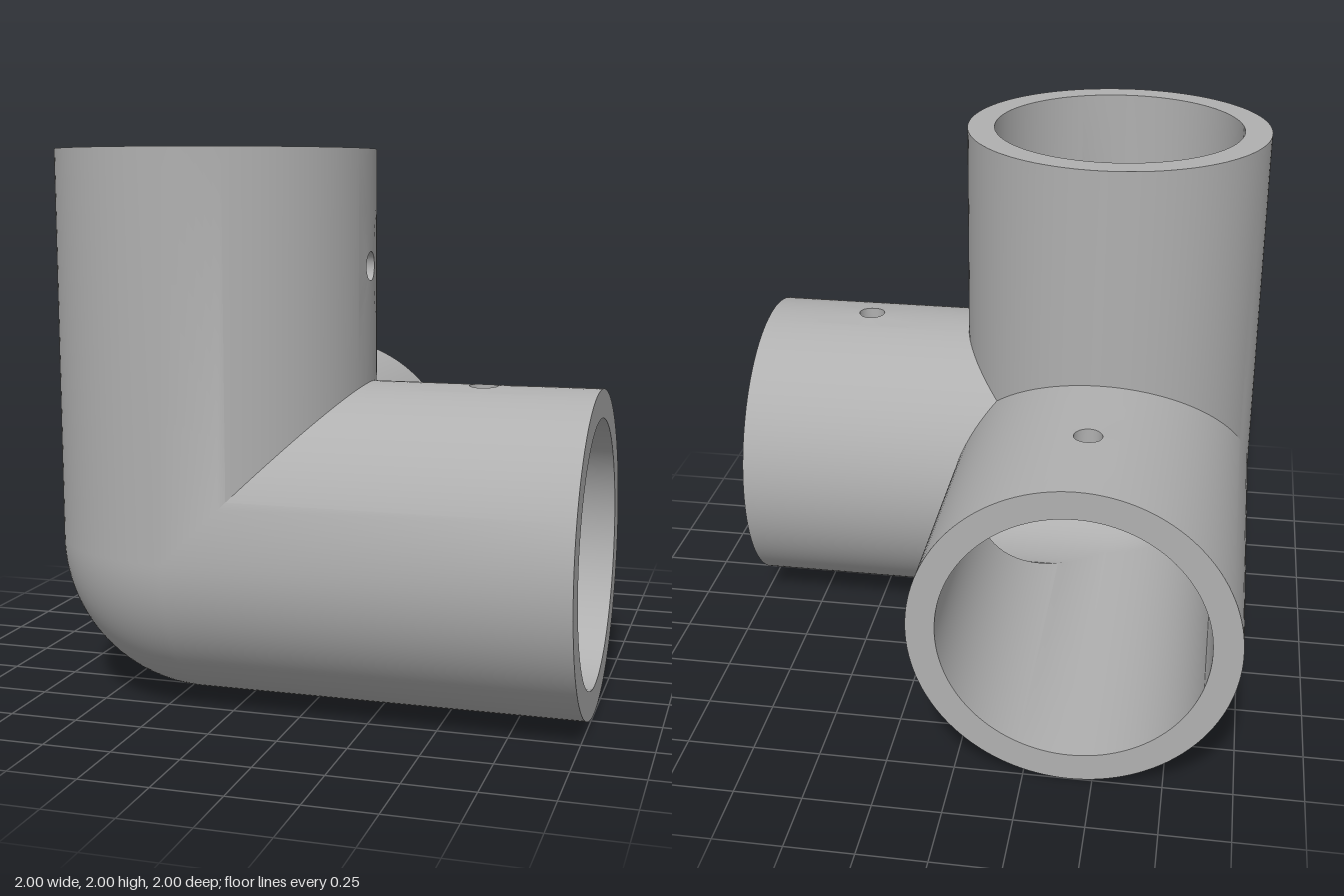
import * as THREE from 'three';
import { mergeGeometries, toCreasedNormals } from 'three/addons/utils/BufferGeometryUtils.js';

const CENTER = new THREE.Vector3(-0.416, 0.584, 0.416); // where the three pipe axes meet
const OUTER = 0.584, INNER = 0.48, LENGTH = 1.416;
const SEGMENTS = 128, STEP = (Math.PI * 2) / SEGMENTS;
const HOLE_RADIUS = 0.052, HOLE_AT = 1, PATCH = 4, PATCH_HALF = 0.2;

// One pipe arm along axis a, mitred against arms along u and v; the screw hole faces u
function armGeometry(a, u, v) {
  const positions = [];
  const mirrored = u.clone().cross(v).dot(a) < 0;
  const place = (x, y, h) => CENTER.clone().addScaledVector(u, x).addScaledVector(v, y).addScaledVector(a, h);
  const at = (r, i, h) => place(r * Math.cos(i * STEP), r * Math.sin(i * STEP), h);
  const quad = (p, q, r, s, flip = false) => {
    const corners = flip !== mirrored ? [p, s, r, p, r, q] : [p, q, r, p, r, s];
    corners.forEach((c) => positions.push(c.x, c.y, c.z));
  };
  const low = HOLE_AT - PATCH_HALF, high = HOLE_AT + PATCH_HALF;

  // Square outline around the hole, counterclockwise, as [column, height]
  const outline = [];
  const side = PATCH * 2, dh = (PATCH_HALF * 2) / side;
  for (let k = 0; k < side; k++) outline.push([-PATCH + k, low]);
  for (let k = 0; k < side; k++) outline.push([PATCH, low + k * dh]);
  for (let k = 0; k < side; k++) outline.push([PATCH - k, high]);
  for (let k = 0; k < side; k++) outline.push([-PATCH, high - k * dh]);

  const rims = [OUTER, INNER].map((r) => {
    const flip = r === INNER;
    const start = (i) => Math.max(0, r * Math.cos(i * STEP), r * Math.sin(i * STEP));
    const strip = (i, h0, h1, top) => quad(at(r, i, h0), at(r, i + 1, h1), at(r, i + 1, top), at(r, i, top), flip);
    // Wall, from the mitre to the open end
    for (let i = -PATCH; i < SEGMENTS - PATCH; i++) {
      if (i < PATCH) {
        strip(i, start(i), start(i + 1), low);
        strip(i, high, high, LENGTH);
      } else strip(i, start(i), start(i + 1), LENGTH);
    }
    // Wall around the hole
    const rim = outline.map(([i, h]) => {
      const angle = Math.atan2((h - HOLE_AT) / PATCH_HALF, i / PATCH);
      const w = HOLE_RADIUS * Math.cos(angle);
      return place(Math.sqrt(r * r - w * w), w, HOLE_AT + HOLE_RADIUS * Math.sin(angle));
    });
    outline.forEach(([i, h], k) => {
      const n = (k + 1) % outline.length;
      quad(at(r, i, h), at(r, ...outline[n]), rim[n], rim[k], flip);
    });
    return rim;
  });

  // Inside of the hole
  rims[0].forEach((p, k) => {
    const n = (k + 1) % rims[0].length;
    quad(p, rims[0][n], rims[1][n], rims[1][k]);
  });
  // Flat end ring
  for (let i = 0; i < SEGMENTS; i++) {
    quad(at(OUTER, i, LENGTH), at(OUTER, i + 1, LENGTH), at(INNER, i + 1, LENGTH), at(INNER, i, LENGTH));
  }
  const geometry = new THREE.BufferGeometry();
  geometry.setAttribute('position', new THREE.Float32BufferAttribute(positions, 3));
  return geometry;
}

// Rounded corner: an eighth of a sphere closing the three arms
function cornerGeometry(radius, inward) {
  const n = SEGMENTS / 4, q = Math.PI / 2;
  const geometry = new THREE.SphereGeometry(radius, n, n, 0, q, q, q);
  if (inward) geometry.index.array.reverse();
  geometry.translate(CENTER.x, CENTER.y, CENTER.z);
  const flat = geometry.toNonIndexed();
  flat.deleteAttribute('normal');
  flat.deleteAttribute('uv');
  return flat;
}

export function createModel() {
  const grey = new THREE.MeshStandardMaterial({ color: 0xb0b0b0 });
  grey.name = 'grey';

  const right = new THREE.Vector3(1, 0, 0);
  const up = new THREE.Vector3(0, 1, 0);
  const back = new THREE.Vector3(0, 0, -1);

  // Arms and corner form one shell, so the blend between them stays smooth
  const shell = mergeGeometries([
    armGeometry(up, right, back),
    armGeometry(right, up, back),
    armGeometry(back, up, right),
    cornerGeometry(OUTER, false),
    cornerGeometry(INNER, true),
  ]);
  const body = new THREE.Mesh(toCreasedNormals(shell, Math.PI / 6), grey);
  body.name = 'threeWayPipeCorner';

  const group = new THREE.Group();
  group.name = 'pipeFitting';
  group.add(body);
  return group;
}
